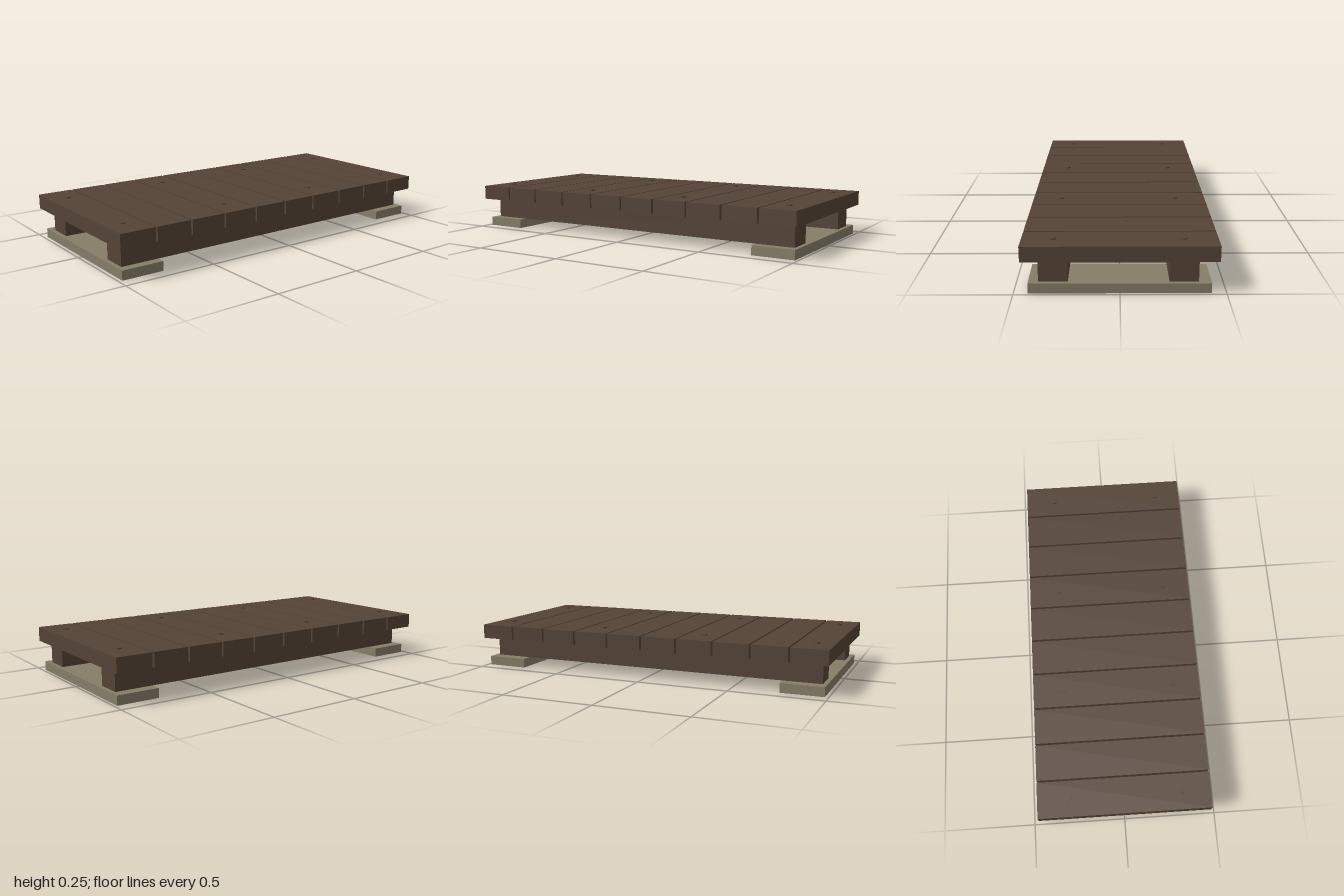
import * as THREE from 'three';

export function createModel() {
  const model = new THREE.Group();
  model.name = 'plankPlatform';
  const darkWood = new THREE.MeshStandardMaterial({ color: 0x544336 });
  darkWood.name = 'darkWood';
  const paleWood = new THREE.MeshStandardMaterial({ color: 0x877d68 });
  paleWood.name = 'paleWood';

  // Box given by its lower and upper limits on each axis
  function board(name, material, [x0, x1], [y0, y1], [z0, z1]) {
    const mesh = new THREE.Mesh(new THREE.BoxGeometry(x1 - x0, y1 - y0, z1 - z0), material);
    mesh.position.set((x0 + x1) / 2, (y0 + y1) / 2, (z0 + z1) / 2);
    mesh.name = name;
    model.add(mesh);
  }

  // Ground sleepers
  board('rightSleeper', paleWood, [-0.98, -0.752], [0, 0.05], [-0.43, 0.432]);
  board('leftSleeper', paleWood, [0.757, 0.985], [0, 0.05], [-0.43, 0.432]);

  // Long bearers
  board('frontBearer', darkWood, [-0.957, 0.963], [0.05, 0.163], [0.245, 0.384]);
  board('backBearer', darkWood, [-0.957, 0.963], [0.05, 0.163], [-0.371, -0.232]);

  // Deck planks with narrow gaps
  const count = 10, width = 0.191, pitch = (2 - width) / (count - 1);
  for (let i = 0; i < count; i++) {
    const x = -1 + i * pitch;
    board(`deckPlank${i + 1}`, darkWood, [x, x + width], [0.163, 0.241], [-0.464, 0.464]);
  }

  // Bolt heads above the bearers
  const boltGeometry = new THREE.CylinderGeometry(0.015, 0.015, 0.012, 12);
  for (const x of [-0.905, -0.303, 0.3, 0.902]) {
    for (const z of [-0.301, 0.315]) {
      const bolt = new THREE.Mesh(boltGeometry, darkWood);
      bolt.position.set(x, 0.242, z);
      bolt.name = 'boltHead';
      model.add(bolt);
    }
  }
  return model;
}
